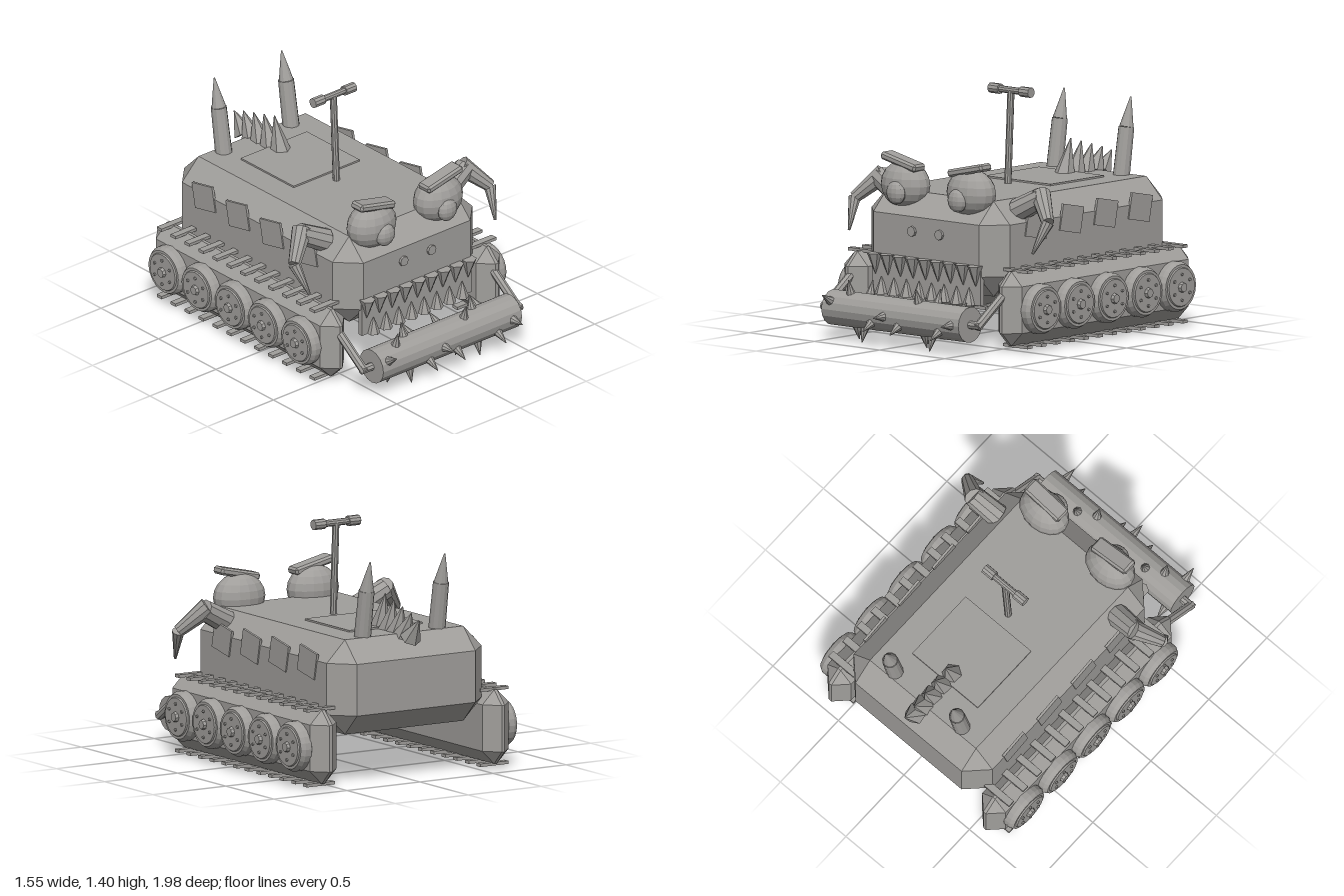
import * as THREE from 'three';
import { ConvexGeometry } from 'three/addons/geometries/ConvexGeometry.js';

const steel = new THREE.MeshStandardMaterial({ color: 0xa09e9b, flatShading: true });
steel.name = 'grey steel';

const V = (x, y, z) => new THREE.Vector3(x, y, z);

function add(parent, name, geometry, x = 0, y = 0, z = 0) {
  const mesh = new THREE.Mesh(geometry, steel);
  mesh.name = name;
  mesh.position.set(x, y, z);
  parent.add(mesh);
  return mesh;
}

// Tapered rod between two points
function rod(parent, name, a, b, r0, r1, sides = 10) {
  const dir = b.clone().sub(a);
  const mesh = add(parent, name, new THREE.CylinderGeometry(r1, r0, dir.length(), sides));
  mesh.position.copy(a).add(b).multiplyScalar(0.5);
  mesh.quaternion.setFromUnitVectors(V(0, 1, 0), dir.normalize());
  return mesh;
}

// Box with all edges and corners cut by c
function chamferBox(w, h, d, c) {
  const points = [];
  for (const sx of [-1, 1]) for (const sy of [-1, 1]) for (const sz of [-1, 1]) {
    const x = w / 2, y = h / 2, z = d / 2;
    points.push(V(sx * x, sy * (y - c), sz * (z - c)));
    points.push(V(sx * (x - c), sy * y, sz * (z - c)));
    points.push(V(sx * (x - c), sy * (y - c), sz * z));
  }
  return new ConvexGeometry(points);
}

// Road wheel with stepped rim, hub and bolts, axis along x
function wheel(parent, s, z) {
  const group = new THREE.Group();
  group.name = 'roadWheel';
  group.position.set(s * 0.66, 0.25, z);
  group.rotation.z = -s * Math.PI / 2;
  const profile = [[0, 0], [0.13, 0], [0.145, 0.015], [0.145, 0.055], [0.13, 0.08],
    [0.115, 0.08], [0.11, 0.088], [0, 0.088]].map(p => new THREE.Vector2(...p));
  add(group, 'wheelDisc', new THREE.LatheGeometry(profile, 24));
  add(group, 'wheelHub', new THREE.CylinderGeometry(0.026, 0.032, 0.02, 8), 0, 0.096, 0);
  for (let i = 0; i < 6; i++) {
    const a = i * Math.PI / 3;
    add(group, 'wheelBolt', new THREE.CylinderGeometry(0.009, 0.009, 0.014, 6),
      Math.cos(a) * 0.075, 0.09, Math.sin(a) * 0.075);
  }
  parent.add(group);
}

export function createModel() {
  const model = new THREE.Group();
  model.name = 'spikedTank';

  // Hull, jaw plate and roof hatch
  add(model, 'hull', chamferBox(1.06, 0.55, 1.56, 0.125), 0, 0.575, -0.18);
  add(model, 'jawPlate', new THREE.BoxGeometry(0.83, 0.2, 0.03), 0, 0.36, 0.585);
  add(model, 'hatch', new THREE.BoxGeometry(0.5, 0.02, 0.46), 0, 0.85, -0.415);

  // Teeth
  for (let i = 0; i < 9; i++) {
    const x = (i - 4) * 0.096;
    rod(model, 'upperTooth', V(x, 0.49, 0.612), V(x, 0.37, 0.605), 0.046, 0.002, 6);
  }
  for (let i = 0; i < 8; i++) {
    const x = (i - 3.5) * 0.096;
    rod(model, 'lowerTooth', V(x, 0.26, 0.605), V(x, 0.36, 0.61), 0.042, 0.002, 6);
  }

  for (const s of [-1, 1]) {
    const side = new THREE.Group();
    side.name = s > 0 ? 'leftSide' : 'rightSide';
    model.add(side);

    // Track body, cleats and wheels
    add(side, 'trackBody', chamferBox(0.18, 0.43, 1.59, 0.08), s * 0.59, 0.255, -0.175);
    for (let i = 0; i < 12; i++) for (const y of [0.035, 0.47]) {
      add(side, 'trackCleat', new THREE.BoxGeometry(0.19, 0.018, 0.042), s * 0.594, y, 0.48 - i * 0.121);
    }
    for (let i = 0; i < 5; i++) wheel(side, s, 0.4 - i * 0.289);

    // Tilted side plates
    for (let i = 0; i < 4; i++) {
      const plate = add(side, 'sidePlate', new THREE.BoxGeometry(0.015, 0.155, 0.18), s * 0.53, 0.705, 0.245 - i * 0.295);
      plate.rotation.x = -0.2;
    }

    // Eye, pupil, brow and nostril
    const eye = add(side, 'eye', new THREE.SphereGeometry(1, 16, 10), s * 0.252, 0.886, 0.495);
    eye.scale.set(0.163, 0.138, 0.115);
    const pupil = add(side, 'pupil', new THREE.SphereGeometry(1, 12, 8), s * 0.235, 0.85, 0.595);
    pupil.scale.set(0.066, 0.068, 0.042);
    const brow = add(side, 'brow', chamferBox(0.27, 0.045, 0.1, 0.012), s * 0.255, 1.02, 0.515);
    brow.rotation.z = s * 0.22;
    rod(side, 'nostril', V(s * 0.105, 0.64, 0.59), V(s * 0.105, 0.64, 0.615), 0.03, 0.03, 8);

    // Bent front horn
    const elbow = V(s * 0.625, 0.875, 0.3), wrist = V(s * 0.74, 0.75, 0.385);
    rod(side, 'hornBase', V(s * 0.455, 0.785, 0.325), elbow, 0.07, 0.062);
    rod(side, 'hornMiddle', V(s * 0.6, 0.89, 0.29), wrist, 0.06, 0.037);
    rod(side, 'hornTip', wrist, V(s * 0.703, 0.575, 0.475), 0.037, 0.008);

    // Rear horn
    const neck = V(s * 0.255, 1.12, -0.832);
    rod(side, 'rearHornBase', V(s * 0.255, 0.8, -0.782), neck, 0.05, 0.046, 12);
    rod(side, 'rearHornTip', neck, V(s * 0.255, 1.29, -0.87), 0.042, 0.004, 12);

    // Roller arm and axle
    rod(side, 'rollerArm', V(s * 0.585, 0.345, 0.585), V(s * 0.585, 0.175, 0.82), 0.026, 0.026, 8);
    rod(side, 'rollerAxle', V(s * 0.52, 0.185, 0.81), V(s * 0.605, 0.185, 0.81), 0.024, 0.024, 8);

    // Periscope end cap
    rod(side, 'periscopeCap', V(s * 0.08, 1.385, -0.127), V(s * 0.155, 1.385, -0.127), 0.03, 0.03, 10);
  }

  // Periscope
  rod(model, 'periscopePole', V(0, 0.84, -0.1), V(0, 1.385, -0.127), 0.021, 0.021);
  rod(model, 'periscopeBar', V(-0.1, 1.385, -0.127), V(0.1, 1.385, -0.127), 0.02, 0.02);

  // Back spines: base z, base y, tip z, tip y
  const spines = [[-0.585, 0.84, -0.64, 1.05], [-0.675, 0.84, -0.73, 1.025], [-0.76, 0.84, -0.82, 1.0],
    [-0.835, 0.84, -0.91, 0.975], [-0.9, 0.83, -0.99, 0.945]];
  for (const [z0, y0, z1, y1] of spines) {
    rod(model, 'spine', V(0, y0, z0), V(0, y1, z1), 0.063, 0.003, 6);
  }

  // Spiked roller; each row has two opposite spikes
  const axis = V(0, 0.185, 0.81);
  rod(model, 'roller', axis.clone().setX(-0.525), axis.clone().setX(0.525), 0.103, 0.103, 16);
  [60, 15, -15, 120, 90, 120, 15, -15, 120, 90].forEach((deg, i) => {
    for (const turn of [0, 180]) {
      const a = THREE.MathUtils.degToRad(deg + turn);
      const at = r => V(-0.47 + i * 0.1035, axis.y + r * Math.cos(a), axis.z + r * Math.sin(a));
      rod(model, 'rollerSpike', at(0.095), at(0.182), 0.028, 0.002, 8);
    }
  });

  return model;
}
